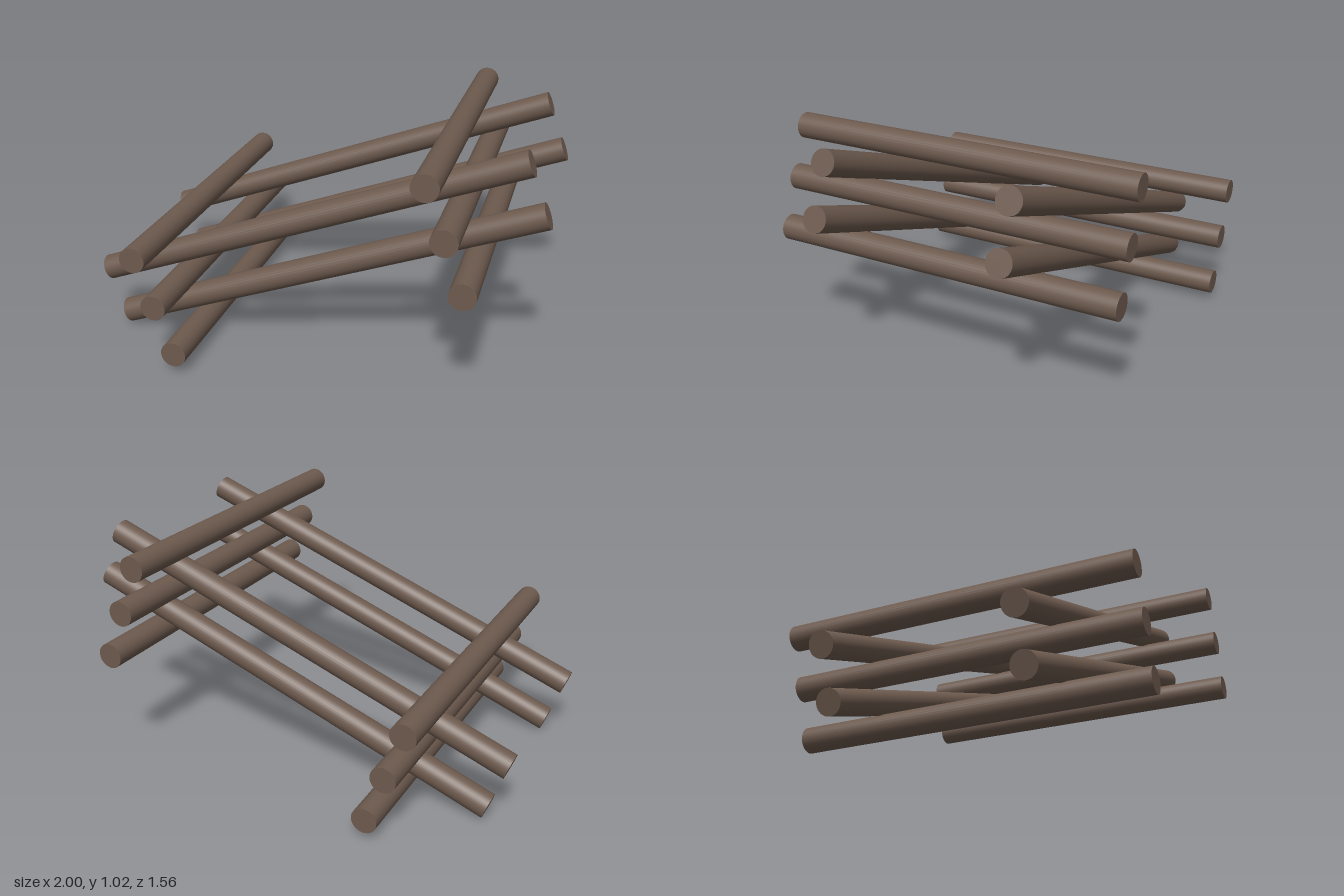
import * as THREE from 'three';

const RADIUS = 0.056;

export function createModel() {
  const model = new THREE.Group();
  model.name = 'logFrame';
  const bark = new THREE.MeshStandardMaterial({ color: 0x6d5a4e });
  bark.name = 'brown wood';

  // A round log between two end points
  function addLog(name, start, end) {
    const a = new THREE.Vector3(...start);
    const b = new THREE.Vector3(...end);
    const log = new THREE.Mesh(new THREE.CylinderGeometry(RADIUS, RADIUS, a.distanceTo(b), 32), bark);
    log.name = name;
    log.position.copy(a).add(b).multiplyScalar(0.5);
    log.quaternion.setFromUnitVectors(new THREE.Vector3(0, 1, 0), b.sub(a).normalize());
    model.add(log);
  }

  // Two sloping rails on each side
  for (const [side, z] of [['front', 0.415], ['back', -0.412]]) {
    addLog(side + 'UpperRail', [-0.98, 0.27, z], [0.898, 0.973, z]);
    addLog(side + 'LowerRail', [-0.9, 0.058, z], [0.977, 0.761, z]);
  }

  // Three crossing logs at each end: above, between and below the rails
  for (const [end, x, y] of [['right', -0.588, 0.301], ['left', 0.628, 0.758]]) {
    for (const [level, step] of [['Top', 1], ['Middle', 0], ['Bottom', -1]]) {
      const px = x - 0.079 * step;
      const py = y + 0.211 * step;
      addLog(end + level + 'CrossLog', [px, py, 0.782], [px, py, -0.782]);
    }
  }
  return model;
}
